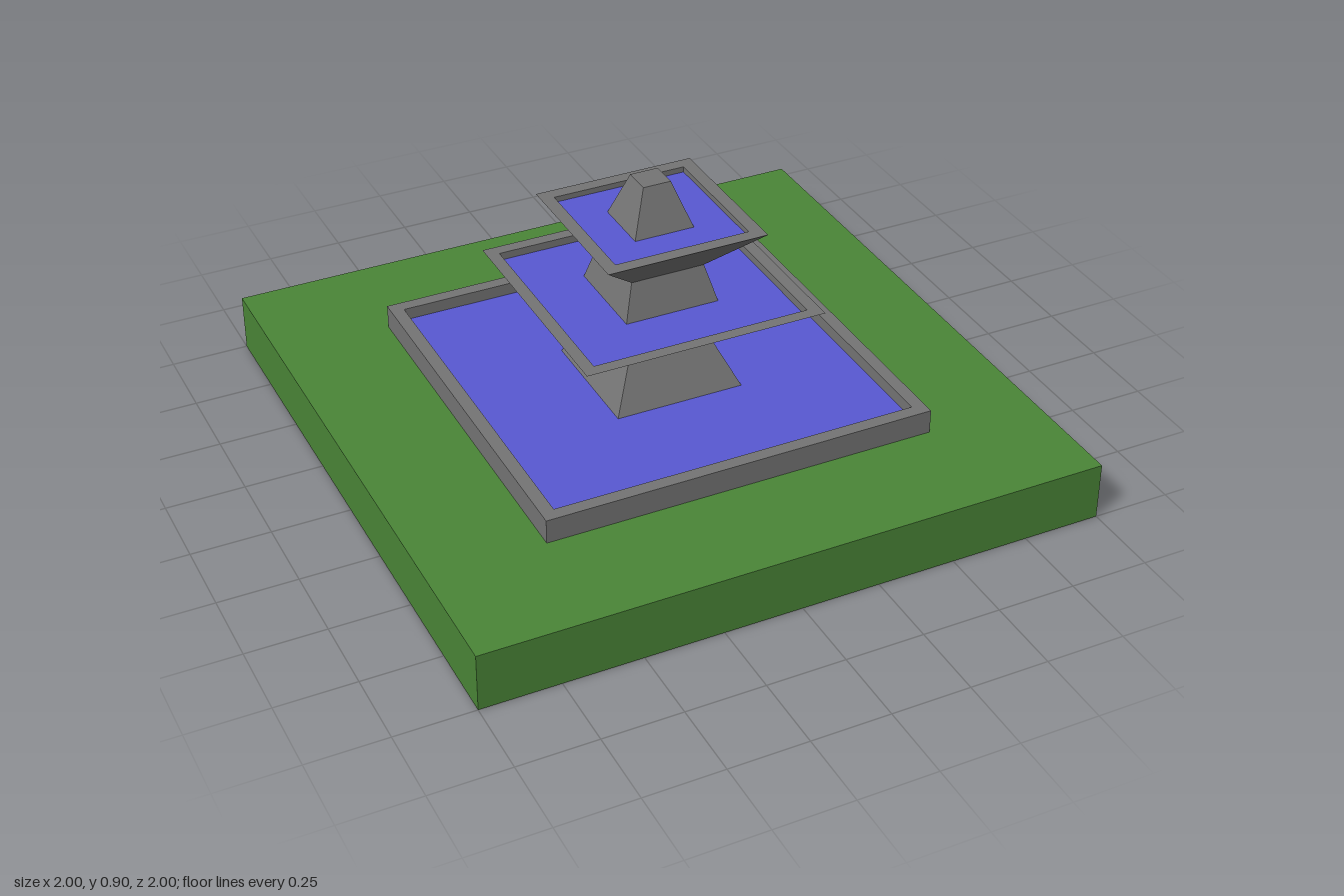
import * as THREE from 'three';

const grass = new THREE.MeshStandardMaterial({ name: 'grass', color: 0x4a8537 });
const stone = new THREE.MeshStandardMaterial({ name: 'stone', color: 0x747474 });
const water = new THREE.MeshStandardMaterial({ name: 'water', color: 0x5858d2 });

// Square solid from a profile of [half width, y] points, listed bottom to top along the outside
function squareLathe(name, profile, material) {
  const points = profile.map(([half, y]) => new THREE.Vector2(half * Math.SQRT2, y));
  const geometry = new THREE.LatheGeometry(points, 4).rotateY(Math.PI / 4).toNonIndexed();
  geometry.computeVertexNormals();
  const mesh = new THREE.Mesh(geometry, material);
  mesh.name = name;
  return mesh;
}

// Flat square sheet of water
function waterSheet(name, half, y) {
  const mesh = new THREE.Mesh(new THREE.PlaneGeometry(half * 2, half * 2).rotateX(-Math.PI / 2), water);
  mesh.name = name;
  mesh.position.y = y;
  return mesh;
}

export function createModel() {
  const model = new THREE.Group();
  model.name = 'fountain';

  // Lawn slab
  const lawn = new THREE.Mesh(new THREE.BoxGeometry(2, 0.187, 2), grass);
  lawn.name = 'lawn';
  lawn.position.y = 0.0935;
  model.add(lawn);

  // Basins: outer wall, flat rim and inner wall down to the water
  const basins = [
    { name: 'pool', foot: 0.63, footY: 0.187, rim: 0.63, rimY: 0.265, inner: 0.588, waterY: 0.225 },
    { name: 'lowerBowl', foot: 0.14, footY: 0.37, rim: 0.39, rimY: 0.54, inner: 0.35, waterY: 0.515 },
    { name: 'upperBowl', foot: 0.12, footY: 0.633, rim: 0.26, rimY: 0.775, inner: 0.218, waterY: 0.757 },
  ];
  for (const b of basins) {
    model.add(squareLathe(b.name, [
      [b.foot, b.footY], [b.rim, b.rimY], [b.inner, b.rimY], [b.inner, b.waterY],
    ], stone));
    model.add(waterSheet(b.name + 'Water', b.inner, b.waterY));
  }

  // Tapered pedestals and the capped finial
  model.add(squareLathe('lowerPedestal', [[0.209, 0.225], [0.14, 0.37]], stone));
  model.add(squareLathe('upperPedestal', [[0.153, 0.515], [0.12, 0.633]], stone));
  model.add(squareLathe('finial', [[0.097, 0.757], [0.045, 0.9], [0, 0.9]], stone));

  return model;
}
